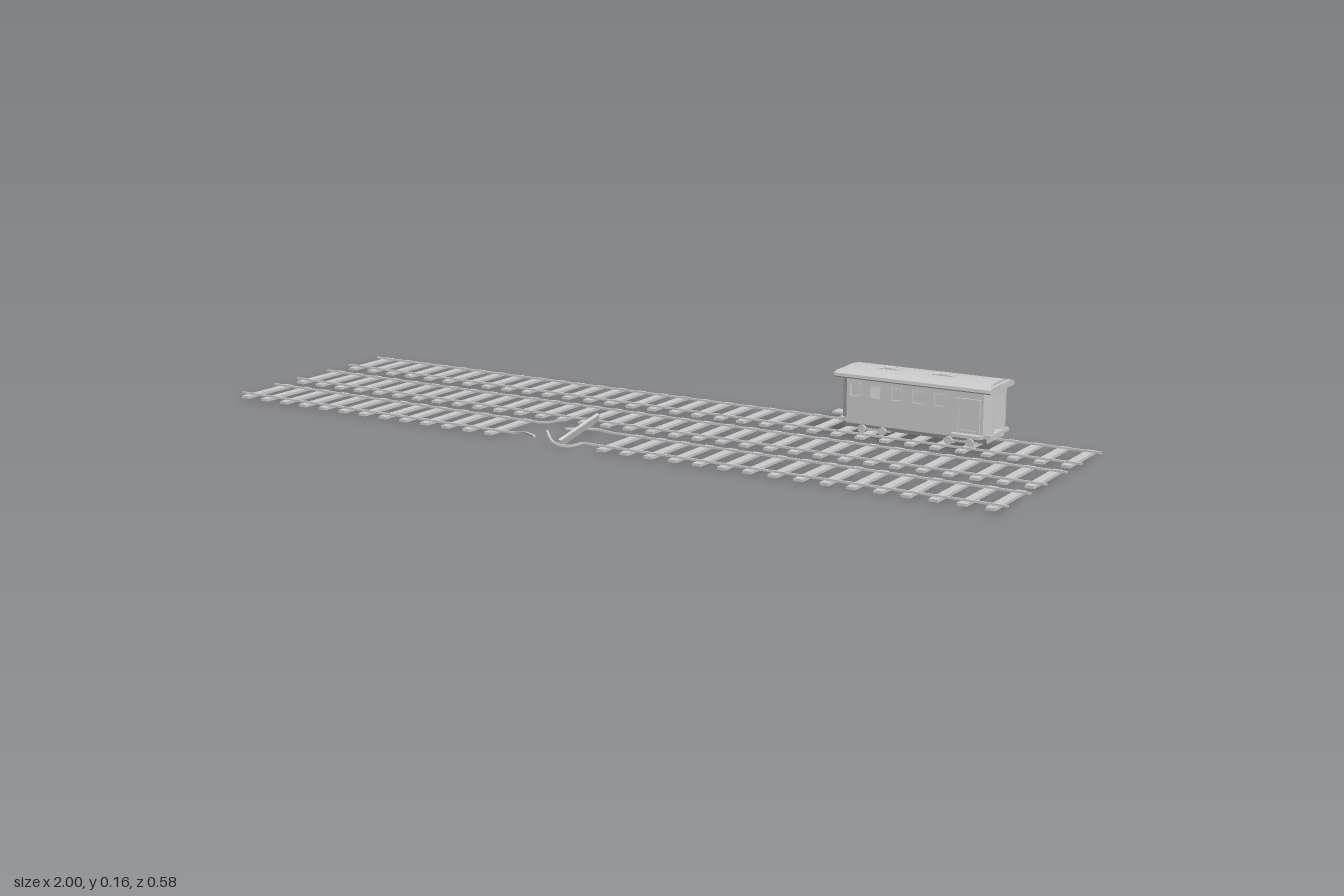
import * as THREE from 'three';

const mat = new THREE.MeshStandardMaterial({ color: 0xcccccc, flatShading: true, side: THREE.DoubleSide });

function add(parent, name, geometry, x = 0, y = 0, z = 0) {
  const m = new THREE.Mesh(geometry, mat);
  m.name = name;
  m.position.set(x, y, z);
  parent.add(m);
  return m;
}
// box given by its minimum and maximum corners
function box(parent, name, x0, x1, y0, y1, z0, z1) {
  return add(parent, name, new THREE.BoxGeometry(x1 - x0, y1 - y0, z1 - z0),
    (x0 + x1) / 2, (y0 + y1) / 2, (z0 + z1) / 2);
}
const poly = pts => new THREE.Shape(pts.map(p => new THREE.Vector2(...p)));
const rect = (x0, x1, y0, y1) => [[x0, y0], [x1, y0], [x1, y1], [x0, y1]];
const extrude = (shape, depth) => new THREE.ExtrudeGeometry(shape, { depth, bevelEnabled: false });

// profile in (z, y), extruded along x
function alongX(parent, name, pts, x0, x1) {
  return add(parent, name, extrude(poly(pts), x1 - x0).rotateY(Math.PI / 2), x0);
}

const SPACING = 0.0607, GAUGE = 0.058;

function track(name, z, skip, spans) {
  const g = new THREE.Group();
  g.name = name;
  for (let i = 0; i < 33; i++) {
    if (skip(i)) continue;
    const x = (i - 16) * SPACING;
    box(g, 'sleeper', x - 0.0105, x + 0.0105, 0.005, 0.011, z - 0.08, z + 0.08);
  }
  for (const s of [-1, 1]) for (const [a, b] of spans)
    box(g, 'rail', a, b, 0.0105, 0.015, z + s * GAUGE - 0.0025, z + s * GAUGE + 0.0025);
  return g;
}

// bent rail swept along a curve
function bentRail(parent, pts) {
  const path = new THREE.CatmullRomCurve3(pts.map(p => new THREE.Vector3(...p)));
  const shape = poly(rect(-0.0025, 0.0025, -0.0025, 0.0025));
  add(parent, 'bentRail', new THREE.ExtrudeGeometry(shape, { steps: 14, bevelEnabled: false, extrudePath: path }));
}

function truck(x) {
  const g = new THREE.Group();
  g.name = 'truck';
  g.position.x = x;
  for (const ax of [-0.025, 0.025]) {
    add(g, 'axle', new THREE.CylinderGeometry(0.002, 0.002, 0.11, 8).rotateX(Math.PI / 2), ax, 0.023, 0);
    for (const s of [-1, 1])
      add(g, 'wheel', new THREE.CylinderGeometry(0.0095, 0.0095, 0.006, 16).rotateX(Math.PI / 2), ax, 0.0235, s * 0.053);
  }
  for (const s of [-1, 1]) box(g, 'sideFrame', -0.04, 0.04, 0.021, 0.026, s * 0.046 - 0.002, s * 0.046 + 0.002);
  for (const cx of [-0.037, 0, 0.037]) box(g, 'crossBeam', cx - 0.004, cx + 0.004, 0.021, 0.027, -0.046, 0.046);
  return g;
}

function carriage() {
  const car = new THREE.Group();
  car.name = 'carriage';
  const X0 = 0.424, X1 = 0.786, W = 0.053, FLOOR = 0.034, TOP = 0.141;
  const windows = [0.46, 0.5115, 0.563, 0.6145, 0.666];

  // side walls with open windows, raised window frames and doors
  for (const s of [-1, 1]) {
    const wall = poly(rect(X0 + 0.016, X1 - 0.016, FLOOR, TOP));
    for (const x of windows) wall.holes.push(poly(rect(x - 0.012, x + 0.012, 0.098, 0.123)));
    add(car, 'sideWall', extrude(wall, 0.003), 0, 0, s > 0 ? W - 0.003 : -W);
    for (const x of windows) {
      const frame = poly(rect(x - 0.015, x + 0.015, 0.095, 0.126));
      frame.holes.push(poly(rect(x - 0.012, x + 0.012, 0.098, 0.123)));
      add(car, 'windowFrame', extrude(frame, 0.002), 0, 0, s > 0 ? W : -W - 0.002);
    }
    const door = poly(rect(0.707, 0.763, 0.046, 0.122));
    door.holes.push(poly(rect(0.713, 0.757, 0.052, 0.116)));
    add(car, 'sideDoorFrame', extrude(door, 0.005), 0, 0, s > 0 ? W : -W - 0.005);
    box(car, 'sideDoor', 0.712, 0.758, 0.05, 0.118, s * (W + 0.001) - 0.001, s * (W + 0.001) + 0.001);
    box(car, 'doorStep', 0.7, 0.77, 0.037, 0.044, s * 0.0605 - 0.0095, s * 0.0605 + 0.0095);
  }

  // ends with chamfered corners and a splayed door recess
  const half = [[0.016, W], [0.003, 0.043], [0, 0.028], [0.018, 0.017]];
  const inner = [[0.021, 0.014], [0.004, 0.026], [0.007, 0.041], [0.016, W - 0.003]];
  for (const e of [-1, 1]) {
    const px = d => (e > 0 ? X1 - d : X0 + d);
    for (const s of [-1, 1]) {
      const pts = [...half, ...inner].map(([d, z]) => [px(d), -s * z]);
      add(car, 'endWall', extrude(poly(pts), TOP - FLOOR).rotateX(-Math.PI / 2), 0, FLOOR);
    }
    box(car, 'endDoor', px(0.0195) - 0.002, px(0.0195) + 0.002, 0.042, 0.125, -0.017, 0.017);
    box(car, 'recessLintel', Math.min(px(0), px(0.02)), Math.max(px(0), px(0.02)), 0.126, TOP, -0.028, 0.028);
    box(car, 'endSill', px(0.008) - 0.01, px(0.008) + 0.01, 0.037, 0.045, -0.052, 0.052);
  }
  box(car, 'compartment', 0.442, 0.485, 0.045, TOP, -0.03, 0.03);

  // floor and tapering underframe
  box(car, 'floor', X0 + 0.005, X1 - 0.005, FLOOR, 0.039, -0.05, 0.05);
  for (const s of [-1, 1])
    alongX(car, 'sideSill', [[s * W, 0.037], [s * 0.045, 0.024], [s * 0.041, 0.024], [s * 0.047, 0.037]], 0.432, 0.778);
  for (const s of [-1, 1]) box(car, 'underframeBeam', 0.43, 0.78, 0.026, 0.035, s * 0.016 - 0.003, s * 0.016 + 0.003);
  for (const x of [0.436, 0.558, 0.657, 0.774]) box(car, 'underframeTie', x - 0.004, x + 0.004, 0.025, 0.035, -0.045, 0.045);
  car.add(truck(0.505), truck(0.715));
  box(car, 'coupler', 0.386, 0.43, 0.041, 0.046, -0.016, 0.016);

  // two-tier arched roof with hatches
  alongX(car, 'roofEdge', [[-0.064, 0.138], [0.064, 0.138], [0.067, 0.141], [0.066, 0.148],
    [0.052, 0.152], [-0.052, 0.152], [-0.066, 0.148], [-0.067, 0.141]], 0.414, 0.79);
  alongX(car, 'roofCrown', [[-0.054, 0.151], [0.054, 0.151], [0.04, 0.1545], [0.02, 0.157],
    [0, 0.158], [-0.02, 0.157], [-0.04, 0.1545]], 0.424, 0.782);
  for (const x of [0.523, 0.655]) {
    box(car, 'roofHatch', x - 0.024, x + 0.024, 0.153, 0.159, -0.016, 0.016);
    box(car, 'hatchLid', x - 0.011, x + 0.011, 0.155, 0.1605, -0.014, 0.014);
  }
  car.position.z = -0.211;
  return car;
}

export function createModel() {
  const root = new THREE.Group();
  root.name = 'railwayYard';
  const whole = [[-1, 1]];
  root.add(track('backTrack', -0.21, () => false, whole));
  root.add(track('middleTrack', -0.008, () => false, whole));

  // front track with a damaged gap
  const broken = track('brokenTrack', 0.193, i => i > 12 && i < 17, [[-1, -0.2], [0, 1]]);
  bentRail(broken, [[-0.2, 0.0128, 0.251], [-0.175, 0.014, 0.252], [-0.145, 0.02, 0.263], [-0.104, 0.022, 0.288]]);
  bentRail(broken, [[-0.2, 0.0128, 0.135], [-0.175, 0.015, 0.132], [-0.14, 0.024, 0.124], [-0.104, 0.033, 0.117]]);
  bentRail(broken, [[0, 0.0128, 0.251], [-0.03, 0.005, 0.266], [-0.065, 0.011, 0.272], [-0.097, 0.028, 0.25]]);
  bentRail(broken, [[0, 0.0128, 0.135], [-0.04, 0.016, 0.136], [-0.075, 0.016, 0.15], [-0.098, 0.018, 0.175]]);
  // torn-out sleeper lying on its edge
  const loose = add(broken, 'looseSleeper', new THREE.BoxGeometry(0.008, 0.018, 0.158), -0.05, 0.024, 0.192);
  loose.rotation.set(0.19, 0, -0.25);
  root.add(broken, carriage());
  return root;
}
